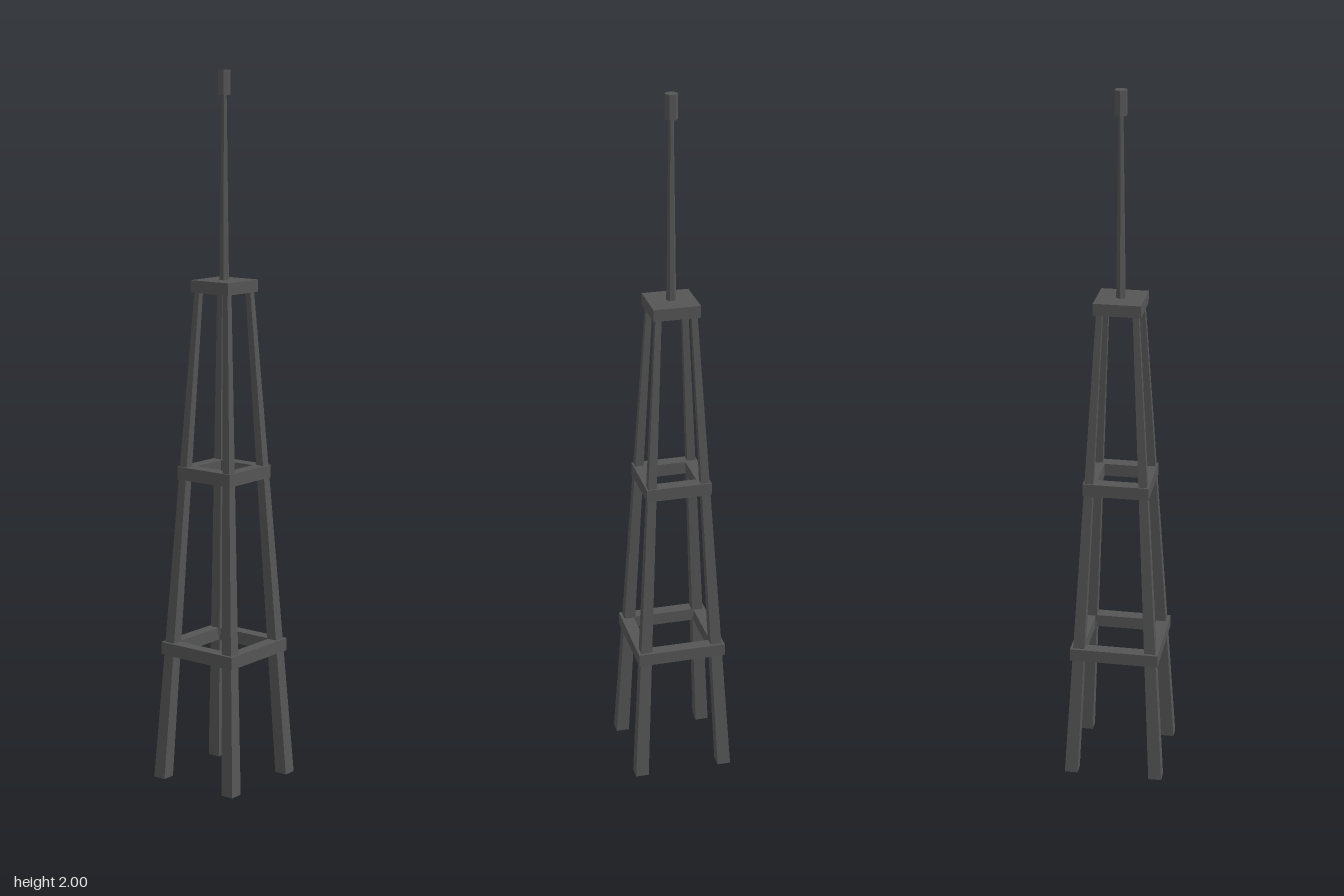
import * as THREE from 'three';

const steel = new THREE.MeshStandardMaterial({ color: 0x555555, flatShading: true });

function add(parent, name, geometry, x = 0, y = 0, z = 0) {
  const mesh = new THREE.Mesh(geometry, steel);
  mesh.name = name;
  mesh.position.set(x, y, z);
  parent.add(mesh);
  return mesh;
}

// Square post that leans inwards and gets thinner towards the top
function legGeometry(sx, sz) {
  const height = 1.4;
  const geo = new THREE.BoxGeometry(2, height, 2);
  const p = geo.attributes.position;
  for (let i = 0; i < p.count; i++) {
    const top = p.getY(i) > 0;
    const centre = top ? 0.05 : 0.124;
    const half = top ? 0.0085 : 0.019;
    p.setXYZ(i, sx * centre + p.getX(i) * half, top ? height : 0, sz * centre + p.getZ(i) * half);
  }
  geo.computeVertexNormals();
  return geo;
}

// Square frame of four bars
function addFrame(parent, name, half, y) {
  const t = 0.036;
  const frame = new THREE.Group();
  frame.name = name;
  frame.position.y = y;
  for (const s of [-1, 1]) {
    add(frame, 'crossBar', new THREE.BoxGeometry(half * 2, t, t), 0, 0, s * (half - t / 2));
    add(frame, 'sideBar', new THREE.BoxGeometry(t, t, half * 2 - t * 2), s * (half - t / 2), 0, 0);
  }
  parent.add(frame);
}

export function createModel() {
  const tower = new THREE.Group();
  tower.name = 'antennaTower';

  // Four legs
  for (const sx of [-1, 1]) {
    for (const sz of [-1, 1]) {
      add(tower, `${sz > 0 ? 'front' : 'back'}${sx > 0 ? 'Left' : 'Right'}Leg`, legGeometry(sx, sz));
    }
  }

  // Bracing frames and top platform
  addFrame(tower, 'lowerFrame', 0.127, 0.382);
  addFrame(tower, 'upperFrame', 0.093, 0.888);
  add(tower, 'topPlatform', new THREE.BoxGeometry(0.132, 0.034, 0.132), 0, 1.412, 0);

  // Tapered six-sided mast with its cap
  const mast = add(tower, 'mast', new THREE.CylinderGeometry(0.007, 0.014, 0.52, 6), 0, 1.68, 0);
  const cap = add(tower, 'mastCap', new THREE.CylinderGeometry(0.018, 0.018, 0.068, 6), 0, 1.966, 0);
  mast.rotation.y = cap.rotation.y = Math.PI / 6;

  return tower;
}
